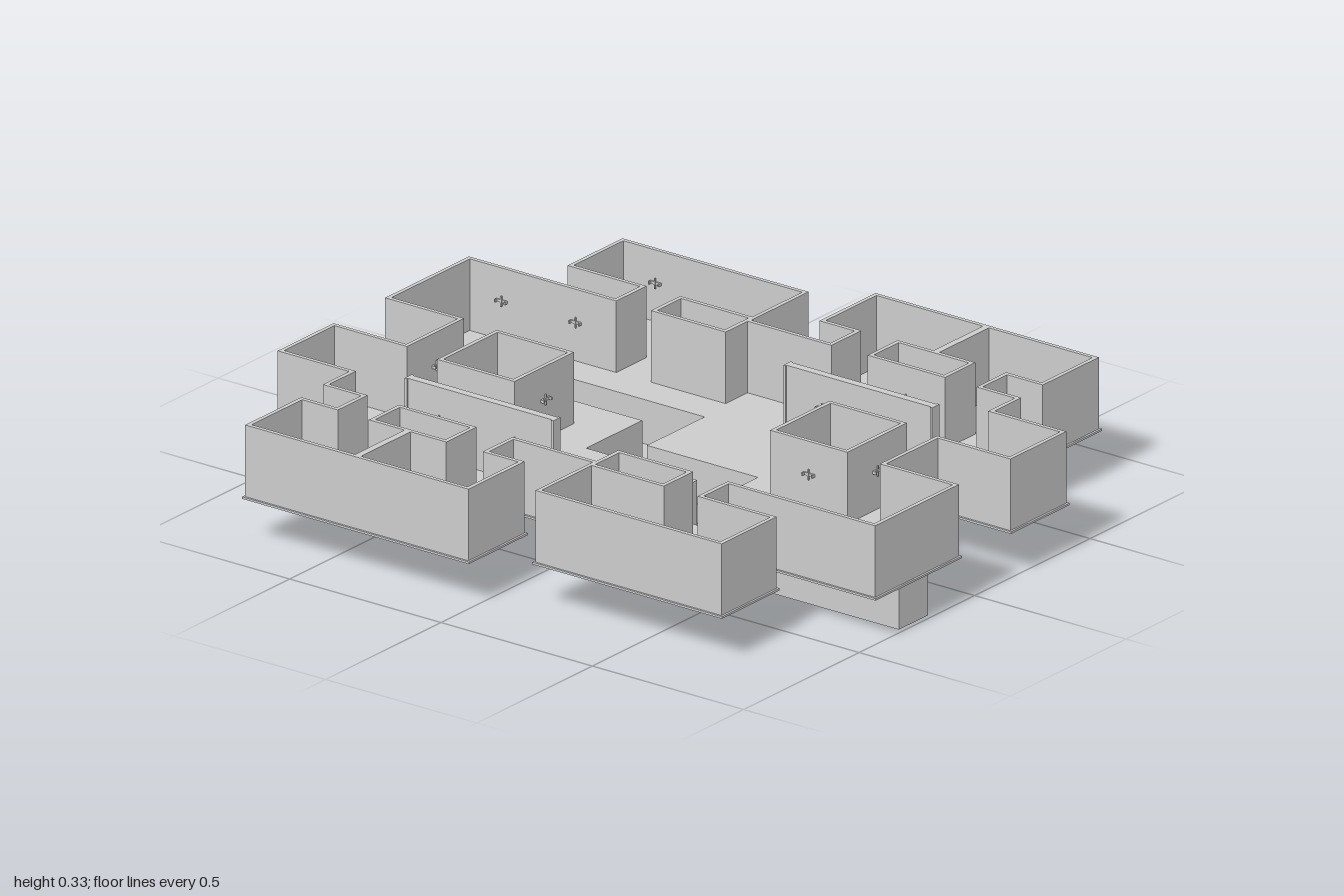
import * as THREE from 'three';

const FLOOR = 0.13, TOP = 0.333, WALL = 0.012, LIP = 0.006;
const mat = new THREE.MeshStandardMaterial({ color: 0xcccccc, flatShading: true, side: THREE.DoubleSide });

// Plan points are [x, z]; the plan repeats after a half turn.
const turn = (pts) => pts.map(([x, z]) => [-x, -z]);
const rect = (x0, z0, x1, z1) => [[x0, z0], [x1, z0], [x1, z1], [x0, z1]];

// Grow (d > 0) or shrink (d < 0) a right-angled outline.
function offset(pts, d) {
  const n = pts.length;
  let area = 0;
  pts.forEach(([x, z], i) => {
    const [u, v] = pts[(i + 1) % n];
    area += x * v - u * z;
  });
  const s = Math.sign(area) * d;
  return pts.map(([x, z], i) => {
    const a = pts[(i + n - 1) % n], b = pts[(i + 1) % n];
    const nx = Math.sign(z - a[1]) + Math.sign(b[1] - z);
    const nz = -Math.sign(x - a[0]) - Math.sign(b[0] - x);
    return [x + nx * s, z + nz * s];
  });
}

// Upright prism over a plan outline with holes, from y0 to y1.
function prism(name, outline, holes, y0, y1) {
  const vec = (pts) => pts.map(([x, z]) => new THREE.Vector2(x, -z));
  const shape = new THREE.Shape(vec(outline));
  holes.forEach((h) => shape.holes.push(new THREE.Path(vec(h))));
  const geo = new THREE.ExtrudeGeometry(shape, { depth: y1 - y0, bevelEnabled: false });
  geo.rotateX(-Math.PI / 2).translate(0, y0, 0);
  const mesh = new THREE.Mesh(geo, mat);
  mesh.name = name;
  return mesh;
}

function box(name, w, h, d, x, y, z) {
  const mesh = new THREE.Mesh(new THREE.BoxGeometry(w, h, d), mat);
  mesh.position.set(x, y, z);
  mesh.name = name;
  return mesh;
}

// Wall bracket: back plate, two arms and an upright; turned to face out of its wall.
function bracket(x, z, angle) {
  const g = new THREE.Group();
  g.name = 'wallBracket';
  g.add(box('plate', 0.036, 0.008, 0.004, 0, 0, 0.002));
  for (const s of [-1, 1]) g.add(box('arm', 0.004, 0.008, 0.012, s * 0.016, 0, 0.006));
  g.add(box('upright', 0.004, 0.03, 0.004, 0, 0, 0.004));
  g.position.set(x, 0.24, z);
  g.rotation.y = angle;
  return g;
}

export function createModel() {
  const model = new THREE.Group();
  model.name = 'dungeonFloor';

  // Outer wall line
  const half = [
    [-0.405, -0.994], [-0.163, -0.994], [-0.163, -0.754], [0.06, -0.754], [0.06, -0.994],
    [0.423, -0.994], [0.423, -0.51], [0.53, -0.51], [0.53, -0.75], [0.768, -0.75],
    [0.768, -0.135], [0.52, -0.135], [0.52, 0.127], [0.625, 0.127], [0.625, 0.01],
    [0.868, 0.01], [0.868, 0.748], [0.625, 0.748], [0.625, 0.63], [0.52, 0.63],
    [0.52, 0.757], [0.405, 0.757],
  ];
  const outline = [...half, ...turn(half)];

  // Open shafts through the floor
  const shaftHalf = [
    rect(-0.186, -0.613, 0.048, -0.382),
    rect(-0.63, -0.5, -0.523, -0.268),
    rect(0.425, -0.373, 0.528, -0.15),
  ];
  const shafts = [...shaftHalf, ...shaftHalf.map(turn)];

  // Stepped sunken channel
  const channelHalf = [[-0.31, 0.986], [-0.31, 0.122], [-0.06, 0.122], [-0.06, -0.245], [0.183, -0.245], [0.183, -0.986]];
  const channel = [...channelHalf, ...turn(channelHalf)];
  const channelInner = offset(channel, -0.004);

  // Free-standing partitions, hollow underneath
  const slot = rect(-0.35, -0.614, -0.326, -0.122);
  const slots = [slot, turn(slot)];
  const slotInner = slots.map((s) => offset(s, -0.004));

  model.add(prism('floor', offset(outline, LIP),
    [...shafts.map((s) => offset(s, -LIP / 2)), channelInner, ...slotInner], FLOOR - 0.006, FLOOR));
  model.add(prism('outerWall', outline, [offset(outline, -WALL)], FLOOR, TOP));
  shafts.forEach((s) => model.add(prism('shaftWall', offset(s, WALL), [s], FLOOR, TOP)));
  model.add(prism('channelWall', channel, [channelInner], 0, FLOOR - 0.006));
  model.add(prism('channelBed', channelInner, [], 0, 0.005));
  slots.forEach((s, i) => {
    model.add(prism('partitionWall', s, [slotInner[i]], FLOOR, TOP));
    model.add(prism('partitionCap', slotInner[i], [], TOP - 0.004, TOP));
  });

  // Half-plan fittings, repeated by a half turn
  const E = Math.PI / 2, N = Math.PI;
  const spots = [
    [-0.285, -0.982, 0], [-0.75, -0.736, 0], [-0.75, -0.394, N], [-0.05, -0.742, 0],
    [-0.067, -0.625, N], [-0.067, -0.37, 0], [-0.198, -0.5, -E], [0.06, -0.5, E],
    [0.072, -0.875, E], [0.411, -0.875, -E], [0.411, -0.63, -E], [0.542, -0.63, E],
    [0.756, -0.63, -E], [-0.511, -0.385, E],
    [-0.35, -0.5, -E], [-0.326, -0.5, E], [-0.35, -0.25, -E], [-0.326, -0.25, E],
  ];
  for (const r of [0, Math.PI]) {
    const fittings = new THREE.Group();
    fittings.name = 'fittings';
    fittings.rotation.y = r;
    spots.forEach((s) => fittings.add(bracket(...s)));
    // Wall between the two side rooms
    fittings.add(box('roomDivider', 0.225, TOP - FLOOR, 0.02, -0.748, (TOP + FLOOR) / 2, -0.384));
    // Thicker posts at the partition ends
    for (const z of [-0.61, -0.126]) {
      fittings.add(box('partitionPost', 0.032, TOP - FLOOR, 0.008, -0.338, (TOP + FLOOR) / 2, z));
    }
    model.add(fittings);
  }
  return model;
}
